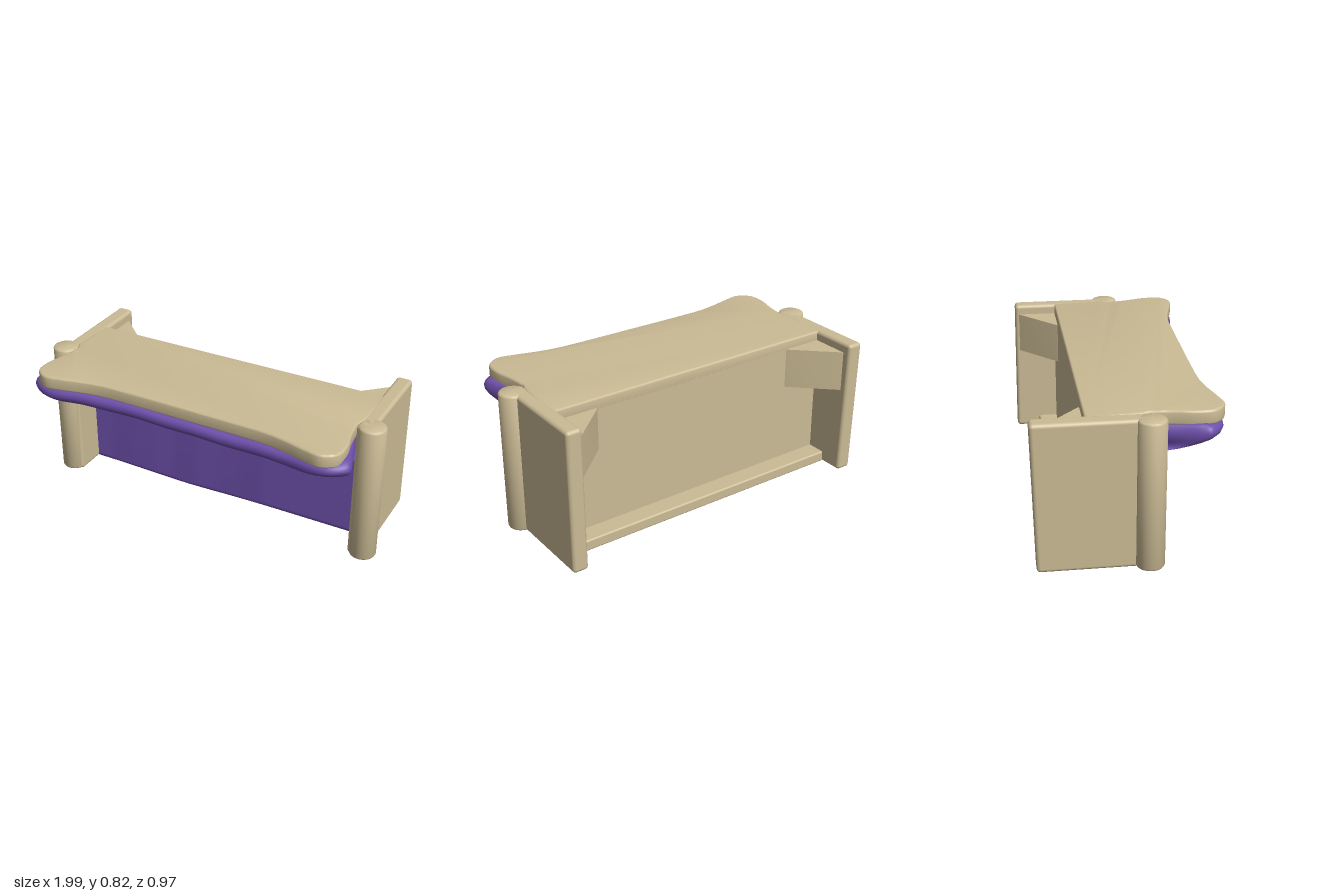
import * as THREE from 'three';
import { toCreasedNormals } from 'three/addons/utils/BufferGeometryUtils.js';
import { RoundedBoxGeometry } from 'three/addons/geometries/RoundedBoxGeometry.js';

const beige = new THREE.MeshStandardMaterial({ color: 0xcbbb95 });
beige.name = 'beige wood';
const purple = new THREE.MeshStandardMaterial({ color: 0x6f50ad });
purple.name = 'purple cloth';

// Smooth open outline in plan, from the +x side round the front to the -x side
function frontOutline(half, count) {
  const pts = half.map(([x, z]) => [x, z]);
  half.slice(0, -1).reverse().forEach(([x, z]) => pts.push([-x, z]));
  const curve = new THREE.CatmullRomCurve3(
    pts.map(([x, z]) => new THREE.Vector3(x, 0, z + 0.012 * x)), false, 'centripetal');
  return curve.getPoints(count).map(p => [p.x, p.z]);
}

// Extrudes a plan outline of [x, z] upwards from y0 to y1 with a soft edge
function planSolid(outline, y0, y1, bevel) {
  const shape = new THREE.Shape(outline.map(([x, z]) => new THREE.Vector2(x, -z)));
  const g = new THREE.ExtrudeGeometry(shape, {
    depth: y1 - y0 - 2 * bevel, bevelEnabled: bevel > 0, bevelThickness: bevel,
    bevelSize: bevel, bevelOffset: -bevel, bevelSegments: 3,
  });
  g.rotateX(-Math.PI / 2);
  g.translate(0, y0 + bevel, 0);
  return toCreasedNormals(g, 0.7);
}

// Moves every vertex of a geometry by a rule
function warp(g, rule) {
  const p = g.attributes.position, v = new THREE.Vector3();
  for (let i = 0; i < p.count; i++) {
    rule(v.fromBufferAttribute(p, i));
    p.setXYZ(i, v.x, v.y, v.z);
  }
  return g;
}

// Cloth bolster hanging under the counter: rings of [y, x scale, z scale]
function drapeGeometry() {
  const half = [[0.84, -0.06], [0.845, 0.08], [0.86, 0.14], [0.893, 0.25], [0.93, 0.36],
    [0.93, 0.395], [0.865, 0.45], [0.77, 0.47], [0.6, 0.445], [0.4, 0.432], [0, 0.428]];
  const outline = frontOutline(half, 100).reverse();
  const rings = [[0.75, 0.5, 0.02], [0.753, 0.96, 0.93], [0.748, 0.98, 0.965], [0.735, 0.993, 0.99],
    [0.715, 1, 1], [0.695, 0.998, 0.985], [0.675, 0.988, 0.945], [0.655, 0.97, 0.875],
    [0.635, 0.95, 0.78], [0.618, 0.935, 0.66], [0.604, 0.92, 0.52], [0.595, 0.91, 0.38],
    [0.592, 0.91, 0.02]];
  const pos = [], index = [], n = outline.length, back = -0.06;
  rings.forEach(([y, sx, sz]) => outline.forEach(([x, z]) => {
    const wave = 0.004 * Math.sin(x * 5 + 3.5) + 0.002 * Math.sin(x * 17);
    const lift = Math.pow(Math.abs(x) / 0.93, 8) * Math.max(0, z) * 0.03;
    pos.push(x * sx, y + lift + wave, back + (z - back) * sz);
  }));
  for (let i = 0; i < rings.length - 1; i++) {
    for (let j = 0; j < n; j++) {
      const a = i * n + j, b = i * n + (j + 1) % n;
      index.push(a, a + n, b, b, a + n, b + n);
    }
  }
  const g = new THREE.BufferGeometry();
  g.setAttribute('position', new THREE.Float32BufferAttribute(pos, 3));
  g.setIndex(index);
  g.computeVertexNormals();
  return g;
}

export function createModel() {
  const group = new THREE.Group();
  const add = (name, geometry, material, x = 0, y = 0, z = 0) => {
    const m = new THREE.Mesh(geometry, material);
    m.name = name;
    m.position.set(x, y, z);
    group.add(m);
    return m;
  };
  const box = (name, mat, [x0, x1], [y0, y1], [z0, z1], r) =>
    add(name, new RoundedBoxGeometry(x1 - x0, y1 - y0, z1 - z0, 3, r), mat,
      (x0 + x1) / 2, (y0 + y1) / 2, (z0 + z1) / 2);

  // Counter top with flared front corners, rising slightly to the front
  const topHalf = [[0.85, 0.1], [0.862, 0.2], [0.89, 0.33], [0.88, 0.42], [0.81, 0.472],
    [0.72, 0.46], [0.6, 0.43], [0.48, 0.41], [0.25, 0.405], [0, 0.405]];
  const topOutline = [[0.87, -0.222], [0.87, 0.05], ...frontOutline(topHalf, 80),
    [-0.87, 0.05], [-0.87, -0.222]];
  add('counterTop', warp(planSolid(topOutline.reverse(), 0.742, 0.818, 0.012),
    v => { v.y += 0.02 * v.z; }), beige);

  // Cloth bolster
  add('clothBolster', drapeGeometry(), purple);

  // Cloth front panel: rounded in section, its hem sagging in the middle
  const w = 0.055, section = new THREE.Shape();
  section.moveTo(w, 0.74);
  section.lineTo(w, 0.045);
  section.quadraticCurveTo(w, 0.02, w * 0.75, 0.015);
  section.quadraticCurveTo(0, -0.002, -w, 0.024);
  section.lineTo(-w, 0.74);
  const panel = new THREE.ExtrudeGeometry(section, { depth: 1.7, steps: 24, bevelEnabled: false });
  panel.rotateY(-Math.PI / 2);
  panel.translate(0.85, 0, 0);
  warp(panel, v => {
    if (v.y < 0.1) v.y += 0.006 - 0.012 * Math.exp(-Math.pow((v.x + 0.25) / 0.3, 2));
  });
  add('frontPanel', toCreasedNormals(panel, 0.7), purple, 0, 0, -0.098);

  // Back panel and foot ledge
  box('backPanel', beige, [-0.86, 0.86], [0.022, 0.79], [-0.222, -0.12], 0.005);
  box('footLedge', beige, [-0.86, 0.86], [0.022, 0.085], [-0.33, -0.13], 0.01);

  for (const s of [1, -1]) {
    const side = s > 0 ? 'left' : 'right';
    const lean = s > 0 ? -0.008 : 0.02;
    const top = 0.815;

    // Side wall with rounded edges, its back edge slightly out of plumb
    const xs = [0.848 * s, 0.936 * s].sort((a, b) => a - b);
    const wall = box(side + 'SideWall', beige, xs, [0.022, top], [-0.468, 0.13], 0.02);
    warp(wall.geometry, v => { if (v.z < 0) v.z -= lean * (v.y / 0.8 + 0.5); });

    // Round front column with softened rims
    const r = 0.073, y0 = 0.025;
    const profile = [[0, y0], [r - 0.012, y0], [r - 0.004, y0 + 0.004], [r, y0 + 0.012],
      [r, top - 0.012], [r - 0.004, top - 0.004], [r - 0.012, top], [0, top]];
    const points = profile.map(([a, b]) => new THREE.Vector2(a, b));
    add(side + 'Column', toCreasedNormals(new THREE.LatheGeometry(points, 32), 0.9),
      beige, 0.924 * s, 0, 0.092);

    // Triangular corner bracket behind the panel
    const tri = [[0.86 * s, -0.21], [0.61 * s, -0.21], [0.63 * s, -0.235], [0.86 * s, -0.45]];
    add(side + 'Bracket', planSolid(s > 0 ? tri : tri.reverse(), 0.53, 0.76, 0), beige);
  }
  return group;
}
